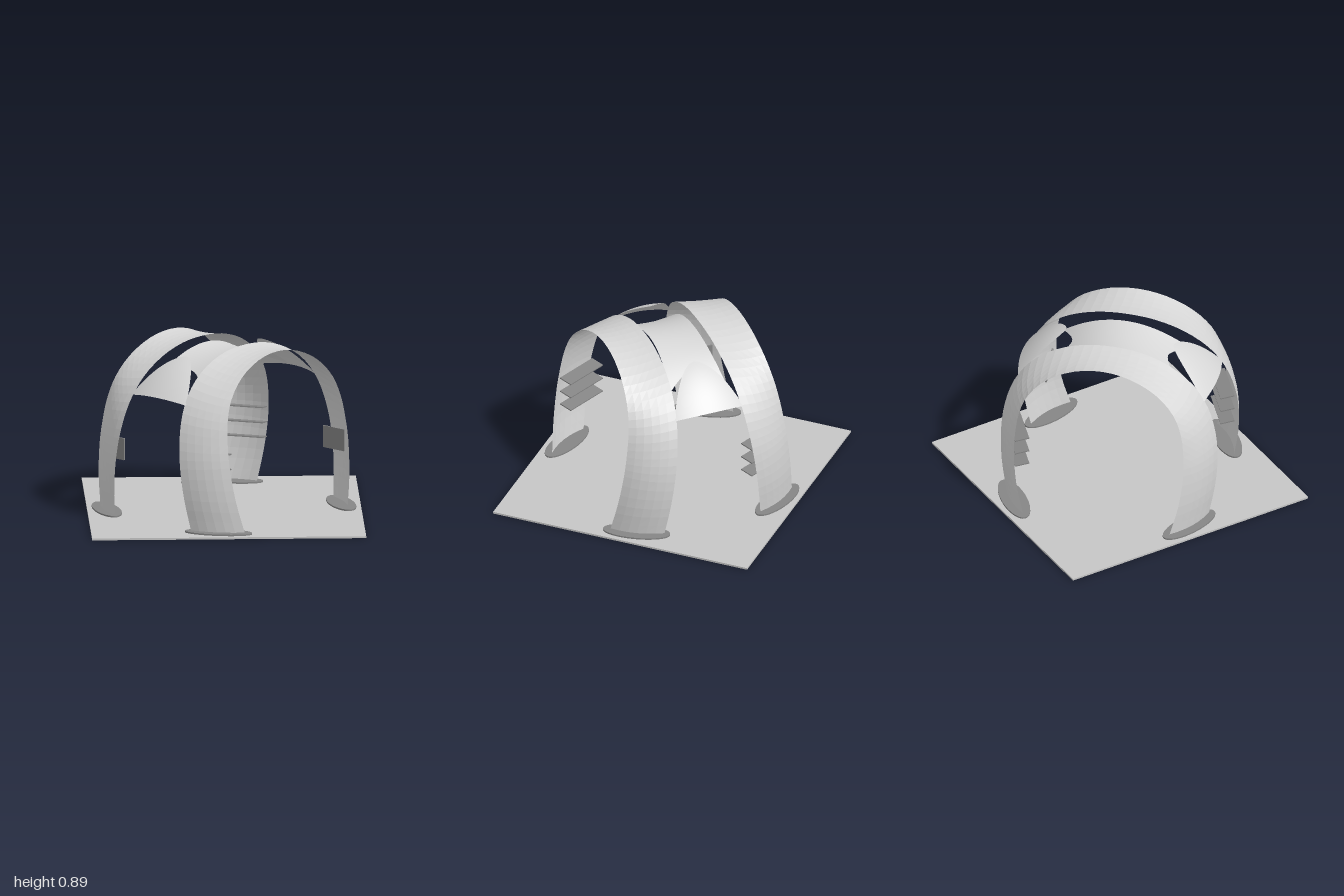
import * as THREE from 'three';

// Thin curved sheet: bends a grid by the rule f(u, v) -> Vector3, u and v in 0..1
function sheet(f, nu, nv, faceted) {
  let g = new THREE.PlaneGeometry(1, 1, nu, nv);
  const p = g.attributes.position;
  for (let i = 0; i < p.count; i++) {
    const v = f(p.getX(i) + 0.5, p.getY(i) + 0.5);
    p.setXYZ(i, v.x, v.y, v.z);
  }
  if (faceted) g = g.toNonIndexed();
  g.computeVertexNormals();
  return g;
}

// Full arch edge from half profile [x, y], leaning in towards the top
function archEdge(half, zTop, lean) {
  const pts = half.map(([x, y]) => new THREE.Vector3(x, y, zTop + lean * (0.89 - y)));
  const left = pts.slice(0, -1).reverse().map(p => new THREE.Vector3(-p.x, p.y, p.z));
  return new THREE.CatmullRomCurve3([...pts, ...left]);
}

export function createModel() {
  const model = new THREE.Group();
  const material = (name, color) => {
    const m = new THREE.MeshStandardMaterial({ color, side: THREE.DoubleSide });
    m.name = name;
    return m;
  };
  const shell = material('light grey shell', 0xd6d6d6);
  const floor = material('floor grey', 0xc6c6c6);
  const dark = material('dark grey', 0x868686);
  const add = (name, geometry, mat) => {
    const mesh = new THREE.Mesh(geometry, mat);
    mesh.name = name;
    model.add(mesh);
    return mesh;
  };

  // Square floor turned to a diamond
  const base = add('floor', new THREE.BoxGeometry(Math.SQRT2, 0.01, Math.SQRT2), floor);
  base.rotation.y = Math.PI / 4;
  base.position.y = 0.005;

  // Two leaning ribbon arches
  const outer = archEdge([[0.39, 0.018], [0.43, 0.18], [0.45, 0.36], [0.447, 0.47], [0.43, 0.59],
    [0.385, 0.7], [0.29, 0.8], [0.15, 0.87], [0, 0.893]], 0.38, 0.145);
  const inner = archEdge([[0.54, 0.018], [0.567, 0.18], [0.575, 0.34], [0.56, 0.48], [0.515, 0.62],
    [0.43, 0.74], [0.3, 0.83], [0.15, 0.88], [0, 0.893]], 0.15, 0.135);
  for (const s of [1, -1]) {
    const ribbon = (u, v) => {
      const p = outer.getPoint(u).lerp(inner.getPoint(u), v);
      const bow = 4 * v * (1 - v), top = Math.pow(p.y / 0.89, 4);
      p.x += bow * 0.02 * (1 - top) * Math.sign(p.x);
      p.z += bow * 0.012 * (1 - top);
      p.y -= bow * 0.01 * top;
      p.z *= s;
      return p;
    };
    add(s > 0 ? 'frontArch' : 'backArch', sheet(ribbon, 48, 6, true), shell);
  }

  // Oval foot plates
  for (const sx of [1, -1]) for (const sz of [1, -1]) {
    const foot = add('footPlate', new THREE.CylinderGeometry(1, 1, 0.008, 40), dark);
    foot.scale.set(0.176, 1, 0.066);
    foot.rotation.y = sx * sz * Math.atan2(0.235, 0.15);
    foot.position.set(sx * 0.465, 0.014, sz * 0.393);
  }

  // Saddle-shaped roof panel with hollowed ends
  add('roofPanel', sheet((u, v) => {
    const w = 2 * v - 1;
    const x = (2 * u - 1) * (0.255 + 0.085 * Math.pow(Math.abs(w), 1.6));
    const k = (x / 0.34) ** 2;
    return new THREE.Vector3(x, 0.853 + 0.012 * w * w - 0.135 * k, w * (0.126 + 0.026 * k));
  }, 28, 16), shell);

  // Side canopies with a rounded nose pointing to the roof
  for (const s of [1, -1]) {
    add('sideCanopy', sheet((u, v) => {
      const w = 2 * v - 1, a = Math.abs(w);
      const x = THREE.MathUtils.lerp(0.285 + 0.2 * Math.pow(a, 1.6), 0.52 - 0.025 * w * w, u);
      const t = (x - 0.285) / 0.235;
      const y = 0.853 - 0.09 * t - 0.088 * t * t - 0.045 * w * w;
      return new THREE.Vector3(s * x, y, w * 0.188);
    }, 12, 24), shell);
  }

  // Shelves and a screen inside the legs, repeated at a half turn
  for (const s of [1, -1]) {
    for (const y of [0.42, 0.34, 0.262]) {
      const shelf = add('shelf', new THREE.BoxGeometry(0.075, 0.006, 0.25), dark);
      shelf.position.set(-s * 0.468, y, s * 0.31);
      shelf.rotation.set(0, 0.45, -0.13, 'YXZ');
    }
    const screen = add('screen', new THREE.BoxGeometry(0.008, 0.115, 0.145), dark);
    screen.position.set(-s * 0.462, 0.35, -s * 0.345);
  }
  return model;
}
